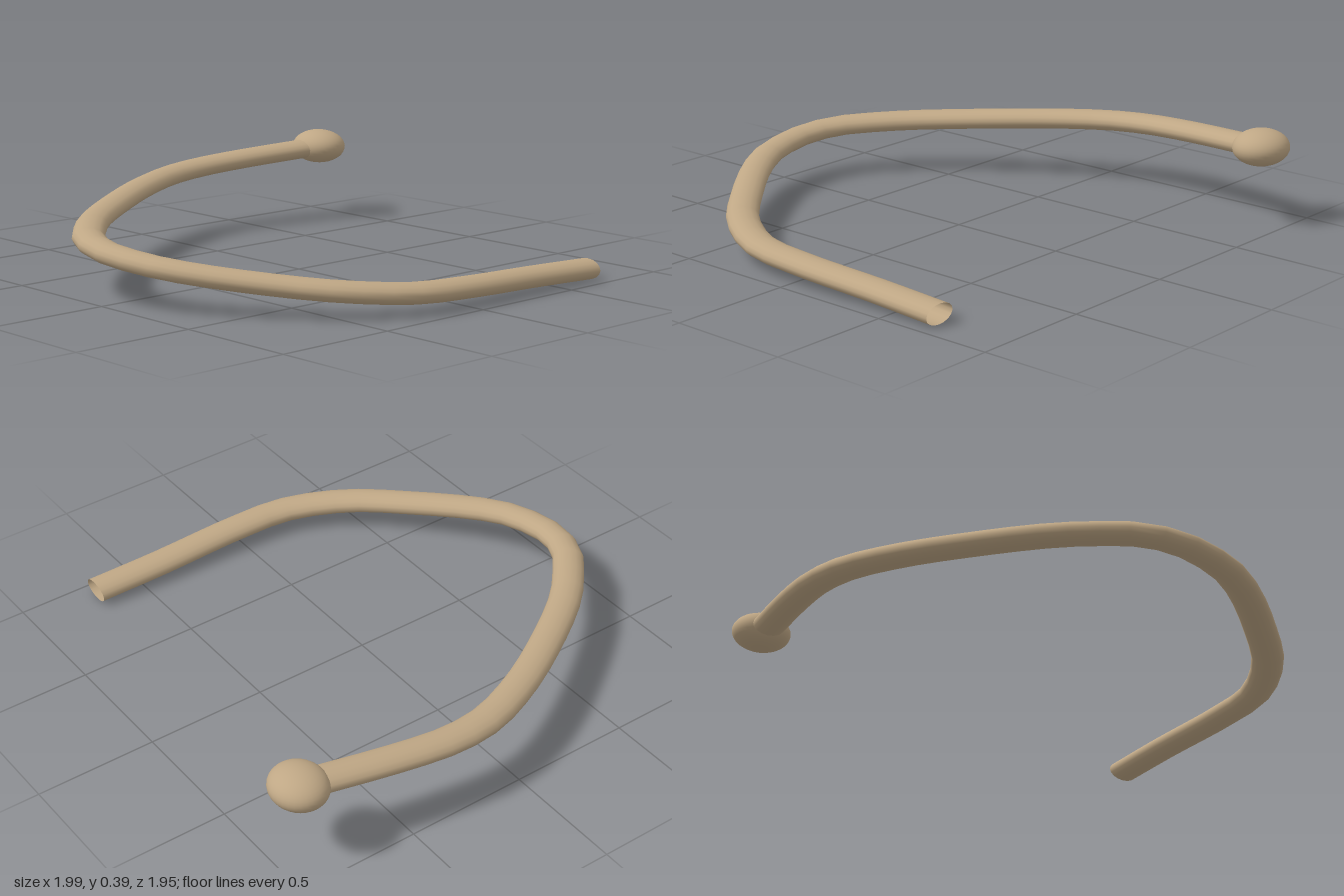
import * as THREE from 'three';

export function createModel() {
  const model = new THREE.Group();
  model.name = 'curvedRod';
  const material = new THREE.MeshStandardMaterial({ color: 0xbfa785, side: THREE.DoubleSide });

  // The round rod and knob are flattened by one common scale
  const squash = new THREE.Vector3(0.91, 0.6, 1);
  const place = (x, y, z) => new THREE.Vector3(x, y, z).divide(squash);

  // Centre line, rising from the open front end to the knob
  const path = new THREE.CatmullRomCurve3([
    [0.705, 0.047, 0.904], [0.4, 0.058, 0.895], [0, 0.073, 0.896], [-0.235, 0.083, 0.87],
    [-0.47, 0.103, 0.74], [-0.65, 0.125, 0.55], [-0.82, 0.153, 0.33], [-0.9, 0.172, 0.18],
    [-0.936, 0.194, -0.04], [-0.895, 0.21, -0.2], [-0.81, 0.218, -0.315], [-0.67, 0.226, -0.46],
    [-0.39, 0.242, -0.66], [-0.15, 0.257, -0.8], [0.08, 0.271, -0.893], [0.27, 0.283, -0.914],
    [0.5, 0.298, -0.89], [0.82, 0.317, -0.832],
  ].map((p) => place(...p)));

  // Open-ended rod
  const rod = new THREE.Mesh(new THREE.TubeGeometry(path, 40, 0.068, 16, false), material);
  rod.name = 'rod';
  rod.scale.copy(squash);

  // Knob at the raised end
  const knob = new THREE.Mesh(new THREE.SphereGeometry(0.123, 32, 20), material);
  knob.name = 'knob';
  knob.scale.copy(squash);
  knob.position.set(0.883, 0.322, -0.822);

  model.add(rod, knob);
  return model;
}
